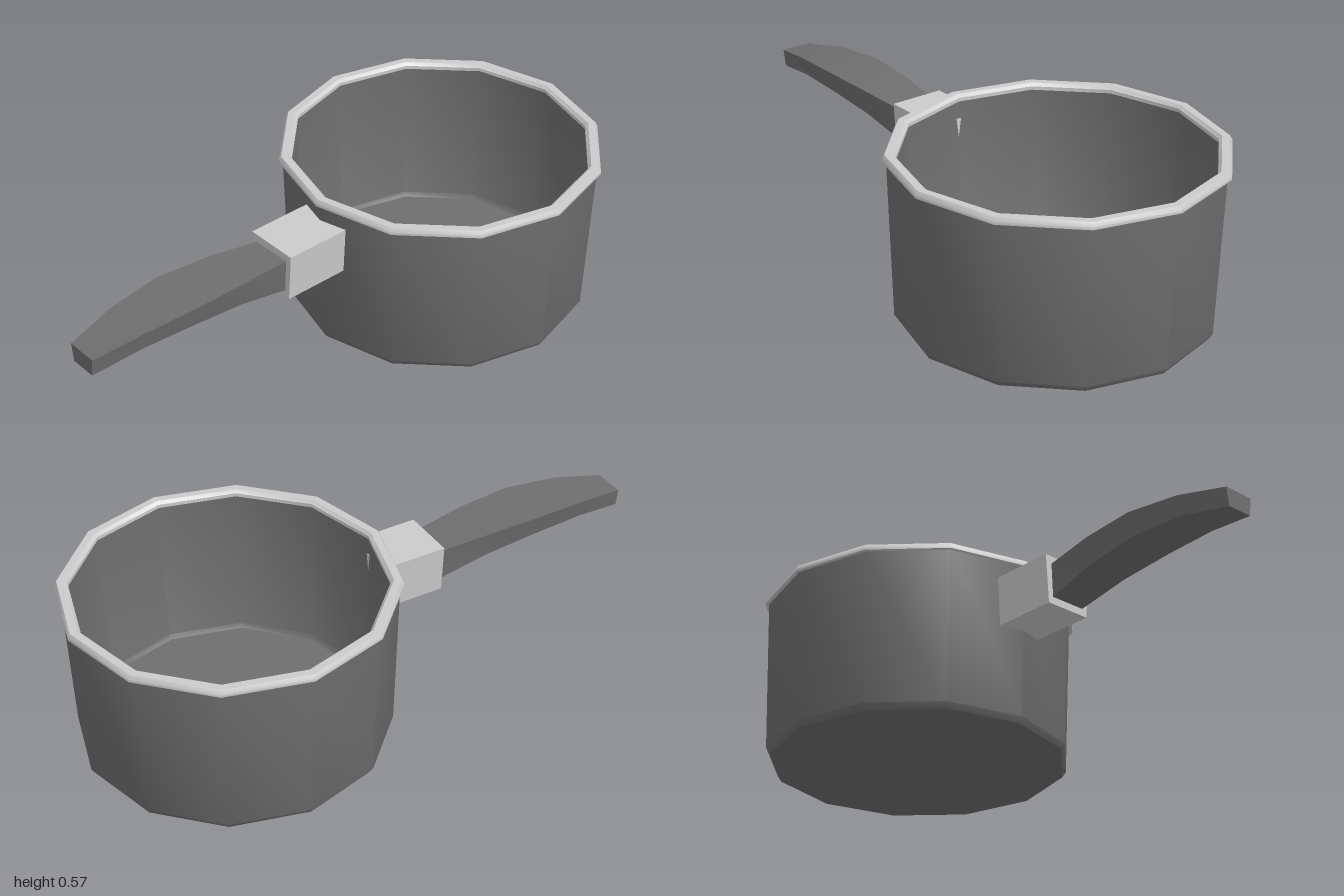
import * as THREE from 'three';
import { toCreasedNormals } from 'three/addons/utils/BufferGeometryUtils.js';

const CREASE = 0.6;
const SIDES = 12;
const POT_Z = -0.46;

const dark = new THREE.MeshStandardMaterial({ color: 0x6e6e6e });
const light = new THREE.MeshStandardMaterial({ color: 0xcccccc });

function part(name, geometry, material) {
  const mesh = new THREE.Mesh(toCreasedNormals(geometry, CREASE), material);
  mesh.name = name;
  return mesh;
}

// Twelve-sided turned part around the pot's axis; profile is [radius, y]
function turned(name, profile, material) {
  const points = profile.map(([r, y]) => new THREE.Vector2(r, y));
  const mesh = part(name, new THREE.LatheGeometry(points, SIDES), material);
  mesh.position.z = POT_Z;
  return mesh;
}

// Trapezoid sections joined along z: [z, bottomY, topY, bottomHalf, topHalf]
function loft(sections) {
  const positions = [], index = [];
  for (const [z, yb, yt, wb, wt] of sections) {
    positions.push(-wb, yb, z, wb, yb, z, wt, yt, z, -wt, yt, z);
  }
  const last = (sections.length - 1) * 4;
  for (let i = 0; i < last; i += 4) {
    for (let j = 0; j < 4; j++) {
      const k = (j + 1) % 4;
      index.push(i + j, i + k, i + 4 + k, i + j, i + 4 + k, i + 4 + j);
    }
  }
  index.push(0, 2, 1, 0, 3, 2, last, last + 1, last + 2, last, last + 2, last + 3);
  const geometry = new THREE.BufferGeometry();
  geometry.setAttribute('position', new THREE.Float32BufferAttribute(positions, 3));
  geometry.setIndex(index);
  geometry.computeVertexNormals();
  return geometry;
}

export function createModel() {
  const model = new THREE.Group();
  model.name = 'saucepan';

  // Hollow pot with a bevelled foot and slightly flared wall
  model.add(turned('potBody', [
    [0, 0], [0.5, 0], [0.513, 0.02], [0.53, 0.552],
    [0.505, 0.552], [0.485, 0.035], [0.475, 0.02], [0, 0.02],
  ], dark));

  // Rolled rim
  model.add(turned('rim', [
    [0.5, 0.548], [0.543, 0.548], [0.543, 0.557], [0.535, 0.57],
    [0.51, 0.57], [0.5, 0.56], [0.5, 0.548],
  ], light));

  // Bracket joining the handle to the wall
  model.add(part('handleBracket', loft([
    [0.04, 0.32, 0.488, 0.083, 0.095],
    [0.27, 0.32, 0.488, 0.083, 0.095],
  ]), light));

  // Arched handle, widest in the middle
  model.add(part('handle', loft([
    [0.26, 0.343, 0.46, 0.064, 0.07],
    [0.45, 0.388, 0.478, 0.076, 0.092],
    [0.64, 0.41, 0.486, 0.083, 0.102],
    [0.83, 0.409, 0.474, 0.07, 0.085],
    [1.0, 0.383, 0.445, 0.046, 0.054],
  ]), dark));

  return model;
}
